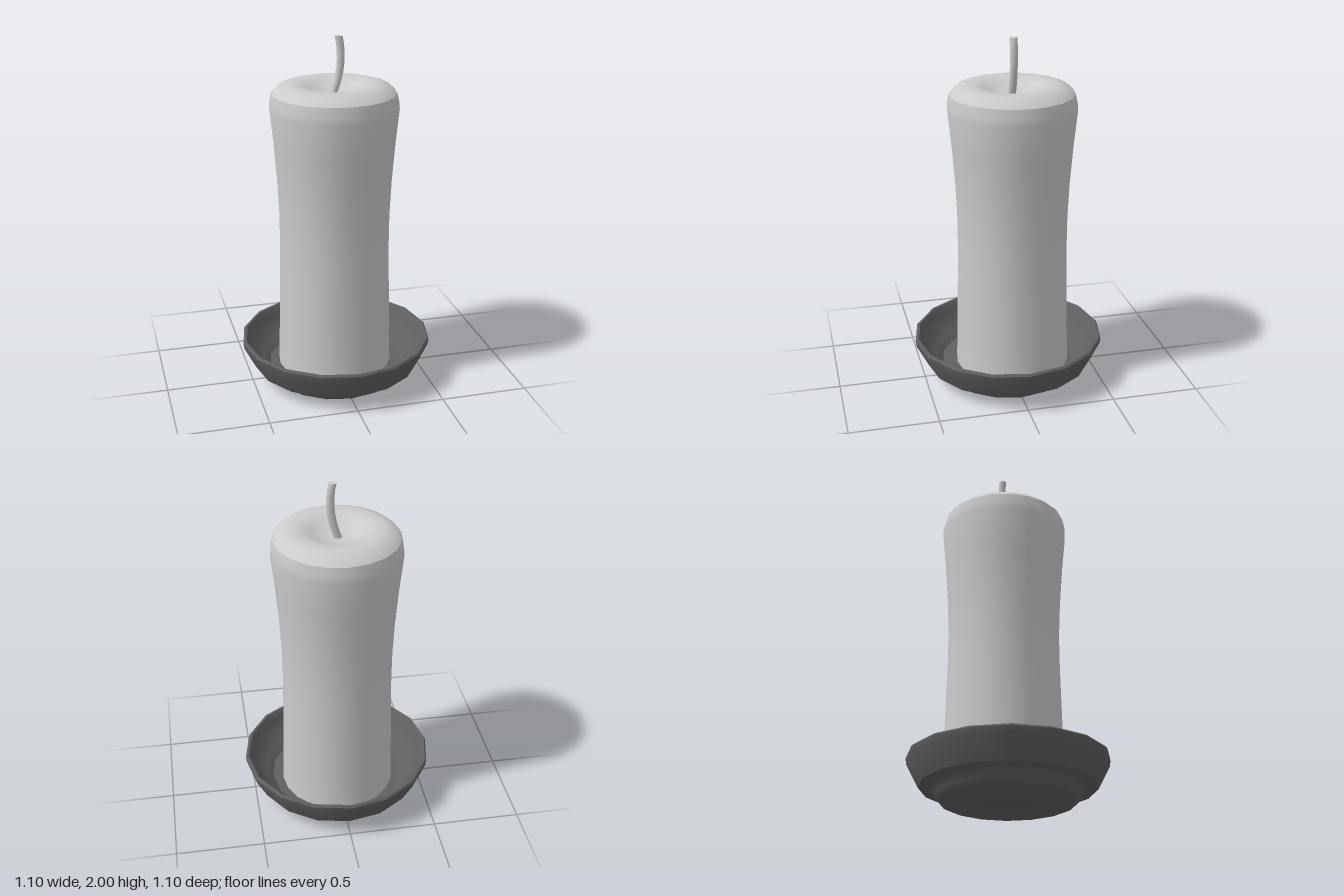
import * as THREE from 'three';
import { toCreasedNormals } from 'three/addons/utils/BufferGeometryUtils.js';

// Turns a [radius, height] profile into a mesh, keeping sharp edges sharp
function turned(name, profile, sides, material, crease) {
  const points = profile.map(([r, y]) => new THREE.Vector2(r, y));
  const geometry = toCreasedNormals(new THREE.LatheGeometry(points, sides), crease);
  const mesh = new THREE.Mesh(geometry, material);
  mesh.name = name;
  return mesh;
}

export function createModel() {
  const group = new THREE.Group();
  group.name = 'candleInDish';
  const grey = new THREE.MeshStandardMaterial({ color: 0xcccccc });
  const dark = new THREE.MeshStandardMaterial({ color: 0x606060 });

  // Dish: foot, flared wall, rim and hollow inside
  group.add(turned('dish', [
    [0, 0], [0.36, 0], [0.375, 0.01], [0.39, 0.035], [0.405, 0.065], [0.425, 0.08], [0.48, 0.08],
    [0.545, 0.205], [0.55, 0.24], [0.542, 0.25], [0.53, 0.248],
    [0.505, 0.21], [0.485, 0.15], [0.43, 0.115], [0.39, 0.075], [0, 0.065],
  ], 16, dark, 0.75));

  const candle = new THREE.Group();
  candle.name = 'candle';
  candle.position.z = -0.026;
  group.add(candle);

  // Wax body with a slight waist
  candle.add(turned('waxBody', [
    [0, 0.065], [0.33, 0.065], [0.325, 0.25], [0.318, 0.55], [0.313, 0.8], [0.314, 0.98],
    [0.323, 1.18], [0.34, 1.4], [0.36, 1.6], [0.358, 1.635], [0.346, 1.69],
  ], 20, grey, 0.8));

  // Rounded shoulder and melted hollow on top
  candle.add(turned('waxTop', [
    [0.346, 1.69], [0.31, 1.725], [0.26, 1.739], [0.2, 1.738],
    [0.15, 1.72], [0.11, 1.698], [0.06, 1.687], [0, 1.685],
  ], 20, grey, 0.9));

  // Wick, bowed sideways
  const wickGeometry = new THREE.CylinderGeometry(0.022, 0.022, 0.33, 8, 8);
  wickGeometry.translate(0, 1.835, 0);
  const p = wickGeometry.attributes.position;
  for (let i = 0; i < p.count; i++) {
    p.setX(i, p.getX(i) + 0.037 - (p.getY(i) - 1.89) ** 2);
  }
  const wick = new THREE.Mesh(toCreasedNormals(wickGeometry, 0.9), grey);
  wick.name = 'wick';
  candle.add(wick);

  return group;
}
